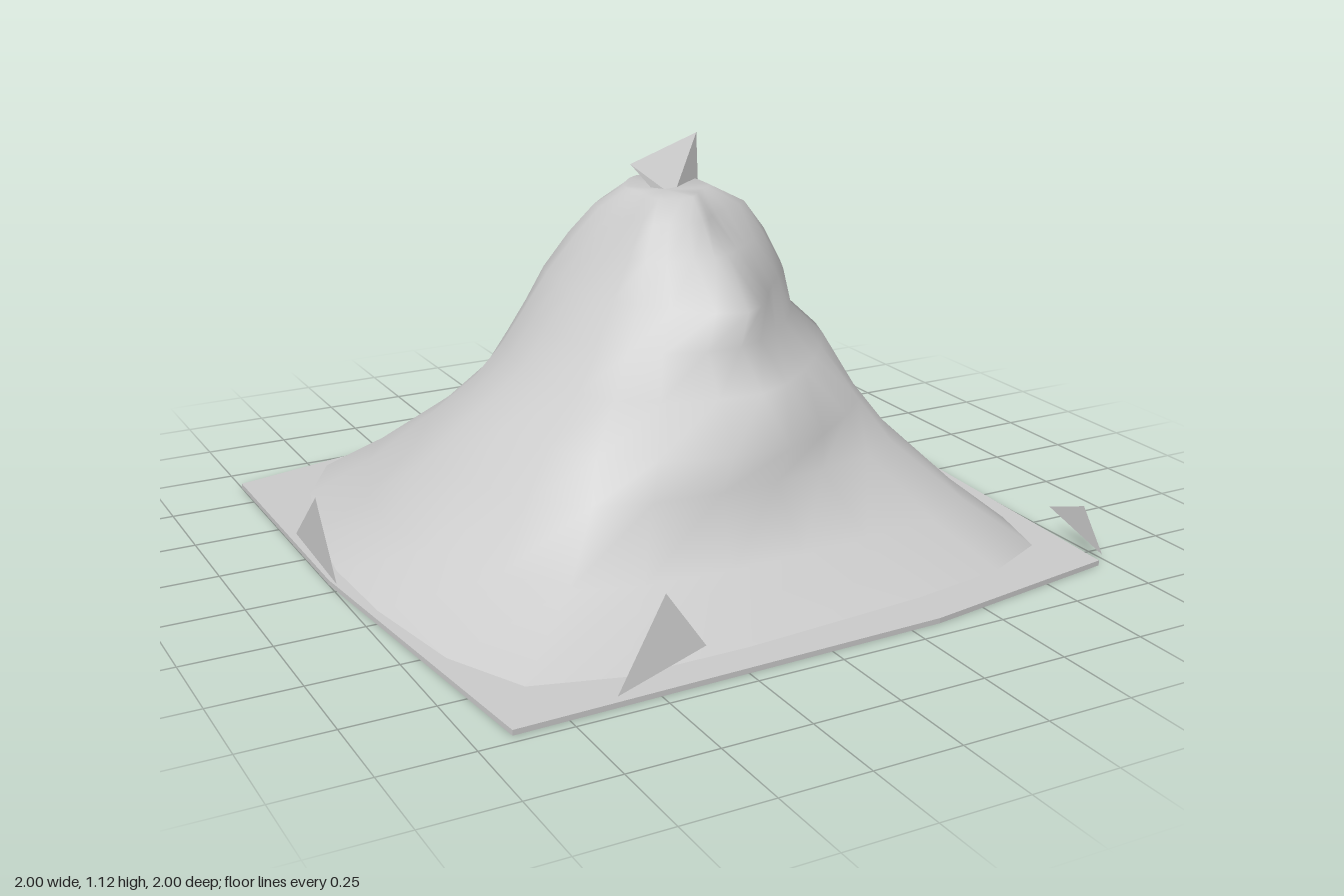
import * as THREE from 'three';
import { ConvexGeometry } from 'three/addons/geometries/ConvexGeometry.js';

const CX = 0.1, CZ = -0.1; // axis the rock rises around
const SIDES = 24;

// Cross-sections: height, then 8 radii from +x turning towards +z
const RINGS = [
  [0.015, 0.80, 1.08, 0.93, 1.25, 1.06, 1.15, 0.89, 1.05],
  [0.13, 0.72, 0.88, 0.74, 0.92, 0.91, 0.95, 0.78, 0.90],
  [0.29, 0.60, 0.66, 0.60, 0.74, 0.79, 0.72, 0.58, 0.66],
  [0.41, 0.52, 0.56, 0.67, 0.71, 0.63, 0.59, 0.53, 0.57],
  [0.52, 0.50, 0.43, 0.52, 0.55, 0.48, 0.52, 0.46, 0.52],
  [0.62, 0.39, 0.34, 0.40, 0.44, 0.41, 0.46, 0.43, 0.46],
  [0.73, 0.37, 0.30, 0.44, 0.34, 0.32, 0.40, 0.40, 0.42],
  [0.84, 0.31, 0.22, 0.25, 0.26, 0.23, 0.32, 0.35, 0.36],
  [0.93, 0.24, 0.13, 0.18, 0.19, 0.16, 0.24, 0.29, 0.28],
  [0.99, 0.12, 0.08, 0.12, 0.14, 0.10, 0.15, 0.22, 0.17],
];

// Ground outline (x, z)
const OUTLINE = [
  [-1, -0.88], [-0.5, -1], [0.6, -1], [0.98, -0.89], [1, -0.05],
  [0.96, 0.84], [0.34, 0.94], [-0.9, 0.97], [-1, -0.05],
];

// Loose triangular flakes standing round the edge
const FLAKES = [
  [[-0.63, 0.04, 0.98], [-0.4, 0.13, 1], [-0.5, 0.28, 0.98]],
  [[0.97, 0.03, 0.84], [0.99, 0.08, 0.58], [0.98, 0.14, 0.74]],
  [[0.98, 0.02, -0.89], [0.99, 0.13, -0.6], [0.98, 0.23, -0.71]],
  [[0.08, 0.02, -1], [0.38, 0.14, -0.99], [0.14, 0.24, -0.99]],
  [[-1, 0.05, -0.33], [-1, 0.03, 0.02], [-1, 0.23, -0.13]],
];

function rockGeometry() {
  const pos = [], index = [];
  for (const [y, ...radii] of RINGS) {
    const corners = radii.map((r, k) => {
      const a = (k / radii.length) * Math.PI * 2;
      return new THREE.Vector3(CX + r * Math.cos(a), y, CZ + r * Math.sin(a));
    });
    const loop = new THREE.CatmullRomCurve3(corners, true, 'catmullrom', 0.4);
    for (let k = 0; k < SIDES; k++) pos.push(...loop.getPoint(k / SIDES).toArray());
  }
  for (let i = 0; i < RINGS.length - 1; i++) {
    for (let k = 0; k < SIDES; k++) {
      const a = i * SIDES + k, b = i * SIDES + ((k + 1) % SIDES);
      index.push(a, a + SIDES, b, b, a + SIDES, b + SIDES);
    }
  }
  // Close the summit
  const top = pos.length / 3, last = top - SIDES;
  pos.push(CX, 0.98, CZ - 0.04);
  for (let k = 0; k < SIDES; k++) index.push(last + k, top, last + ((k + 1) % SIDES));
  const geo = new THREE.BufferGeometry();
  geo.setAttribute('position', new THREE.Float32BufferAttribute(pos, 3));
  geo.setIndex(index);
  geo.computeVertexNormals();
  return geo;
}

export function createModel() {
  const group = new THREE.Group();
  const smooth = new THREE.MeshStandardMaterial({ color: 0xcccccc, side: THREE.DoubleSide });
  const flat = new THREE.MeshStandardMaterial({ color: 0xcccccc, side: THREE.DoubleSide, flatShading: true });
  const add = (name, geo, mat) => {
    const mesh = new THREE.Mesh(geo, mat);
    mesh.name = name;
    group.add(mesh);
  };

  // Thin ground slab
  const shape = new THREE.Shape(OUTLINE.map(([x, z]) => new THREE.Vector2(x, -z)));
  const slab = new THREE.ExtrudeGeometry(shape, { depth: 0.015, bevelEnabled: false });
  slab.rotateX(-Math.PI / 2);
  add('groundSlab', slab, flat);

  // Main rock with overhanging ledges
  add('rock', rockGeometry(), smooth);

  // Jagged chip on the summit, leaning into the back slope
  const chip = [
    [0.02, 1.05, -0.21], [0.25, 1.12, -0.23], [0.07, 0.98, -0.17],
    [0.12, 0.96, -0.13], [0.24, 0.97, -0.2], [0.27, 0.94, -0.33], [0.2, 0.95, -0.37],
  ].map((p) => new THREE.Vector3(...p));
  add('summitChip', new ConvexGeometry(chip), flat);

  // Edge flakes
  FLAKES.forEach((corners, i) => {
    const geo = new THREE.BufferGeometry();
    geo.setAttribute('position', new THREE.Float32BufferAttribute(corners.flat(), 3));
    geo.computeVertexNormals();
    add(`edgeFlake${i + 1}`, geo, flat);
  });
  return group;
}
